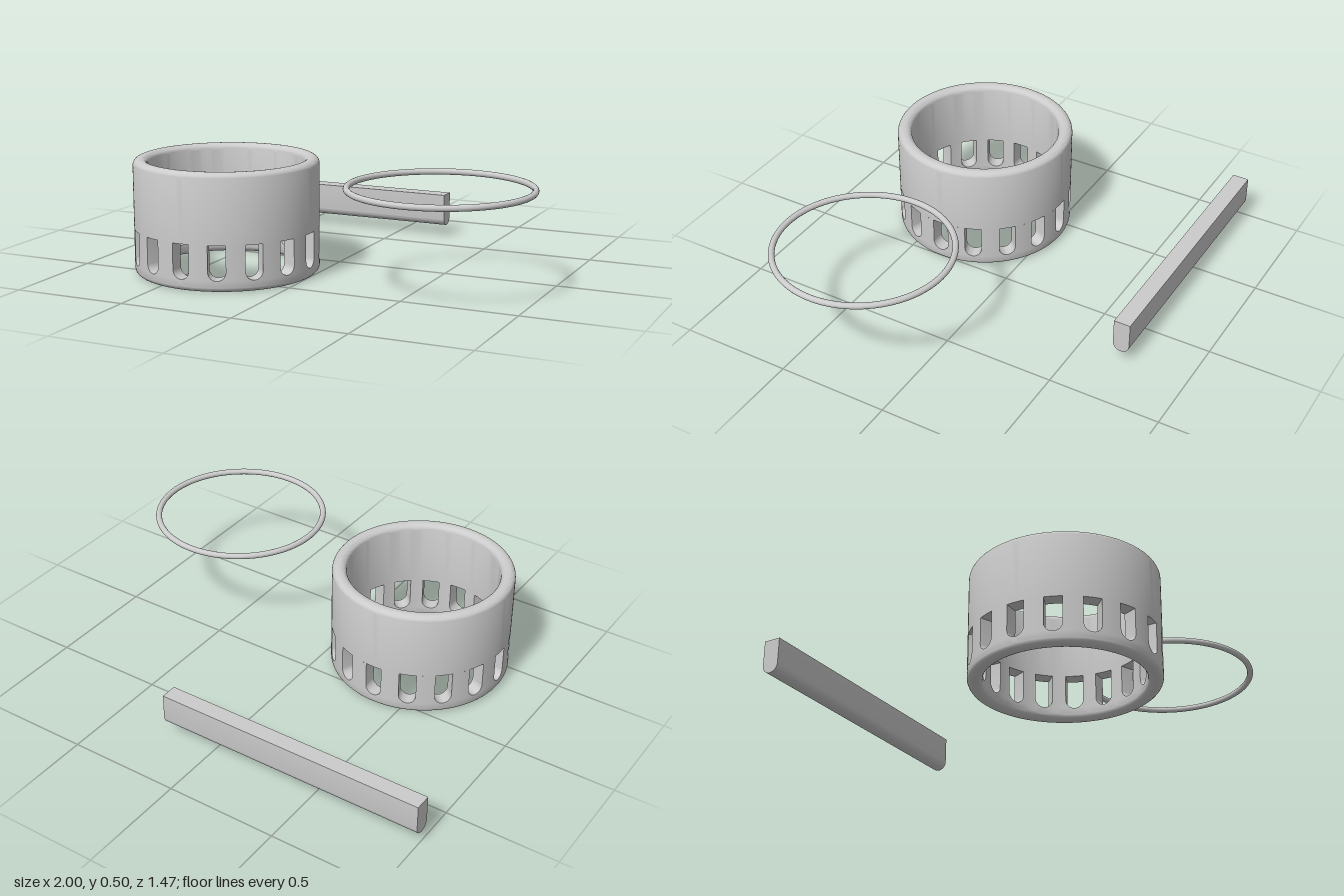
import * as THREE from 'three';
import { toCreasedNormals } from 'three/addons/utils/BufferGeometryUtils.js';

const R_OUT = 0.4, R_IN = 0.336, HEIGHT = 0.5;
const SLOTS = 16, PITCH = (Math.PI * 2) / SLOTS;
const SLOT_R = 0.0375, SLOT_BOTTOM = 0.05, SLOT_TOP = 0.2;
const FILLET = 0.028, SEGMENTS = 128;

const material = new THREE.MeshStandardMaterial({ color: 0xcccccc, side: THREE.DoubleSide });

function part(name, geometry) {
  const mesh = new THREE.Mesh(geometry, material);
  mesh.name = name;
  return mesh;
}

// Quarter-round profile points about (cx, cy)
function quarter(cx, cy, from) {
  const pts = [];
  for (let i = 0; i <= 6; i++) {
    const a = from + (i / 6) * Math.PI / 2;
    pts.push(new THREE.Vector2(cx + FILLET * Math.cos(a), cy + FILLET * Math.sin(a)));
  }
  return pts;
}

const lathe = (pts) => toCreasedNormals(new THREE.LatheGeometry(pts, SEGMENTS), 0.6);

// Wall above the windows, rounded along its rim
function upperWall() {
  const y = HEIGHT - FILLET;
  return lathe([
    new THREE.Vector2(R_IN, SLOT_TOP), new THREE.Vector2(R_OUT, SLOT_TOP),
    ...quarter(R_OUT - FILLET, y, 0), ...quarter(R_IN + FILLET, y, Math.PI / 2),
    new THREE.Vector2(R_IN, SLOT_TOP),
  ]);
}

// Band under the windows, rounded along the foot
function lowerBand() {
  return lathe([
    new THREE.Vector2(R_IN, SLOT_BOTTOM),
    ...quarter(R_IN + FILLET, FILLET, Math.PI), ...quarter(R_OUT - FILLET, FILLET, Math.PI * 1.5),
    new THREE.Vector2(R_OUT, SLOT_BOTTOM),
  ]);
}

// One post between two parallel-sided, round-bottomed windows
function postGeometry() {
  const levels = [];
  for (let i = 0; i <= 12; i++) {
    const a = (i / 12) * Math.PI / 2;
    levels.push([SLOT_BOTTOM + SLOT_R * (1 - Math.cos(a)), SLOT_R * Math.sin(a)]);
  }
  levels.push([SLOT_TOP, SLOT_R]);

  const steps = 8, ring = 2 * (steps + 1);
  const positions = [], index = [];
  levels.forEach(([y, half], row) => {
    for (let k = 0; k < ring; k++) {
      const outer = k <= steps;
      const r = outer ? R_OUT : R_IN;
      const t = (outer ? k : ring - 1 - k) / steps;
      const edge = Math.asin(half / r);
      const phi = edge + t * (PITCH - 2 * edge);
      positions.push(r * Math.sin(phi), y, r * Math.cos(phi));
      if (row > 0) {
        const n = (k + 1) % ring, lo = (row - 1) * ring, hi = row * ring;
        index.push(lo + k, lo + n, hi + k, lo + n, hi + n, hi + k);
      }
    }
  });
  const g = new THREE.BufferGeometry();
  g.setAttribute('position', new THREE.Float32BufferAttribute(positions, 3));
  g.setIndex(index);
  return toCreasedNormals(g, 0.6);
}

// Long bar with the same round-bottomed section as the windows
function barGeometry(length) {
  const s = new THREE.Shape();
  s.moveTo(SLOT_R, SLOT_TOP);
  s.lineTo(-SLOT_R, SLOT_TOP);
  s.lineTo(-SLOT_R, SLOT_BOTTOM + SLOT_R);
  s.absarc(0, SLOT_BOTTOM + SLOT_R, SLOT_R, Math.PI, Math.PI * 2, false);
  const g = new THREE.ExtrudeGeometry(s, { depth: length, bevelEnabled: false, curveSegments: 24 });
  g.translate(0, 0, -length / 2);
  g.rotateY(Math.PI / 2);
  return toCreasedNormals(g, 0.6);
}

export function createModel() {
  const model = new THREE.Group();
  model.name = 'slottedRingSet';

  // Slotted ring
  const cage = new THREE.Group();
  cage.name = 'slottedRing';
  cage.add(part('upperWall', upperWall()), part('lowerBand', lowerBand()));
  const post = postGeometry();
  for (let i = 0; i < SLOTS; i++) {
    const p = part('post', post);
    p.rotation.y = i * PITCH;
    cage.add(p);
  }
  cage.position.set(-0.382, 0, 0.333);
  model.add(cage);

  // Thin loose hoop
  const hoop = part('hoop', new THREE.TorusGeometry(0.382, 0.0135, 16, SEGMENTS));
  hoop.rotation.x = Math.PI / 2;
  hoop.position.set(0.604, 0.441, 0.333);
  model.add(hoop);

  // Loose bar at the back
  const bar = part('bar', barGeometry(1.24));
  bar.position.set(-0.38, 0, -0.696);
  model.add(bar);

  return model;
}
